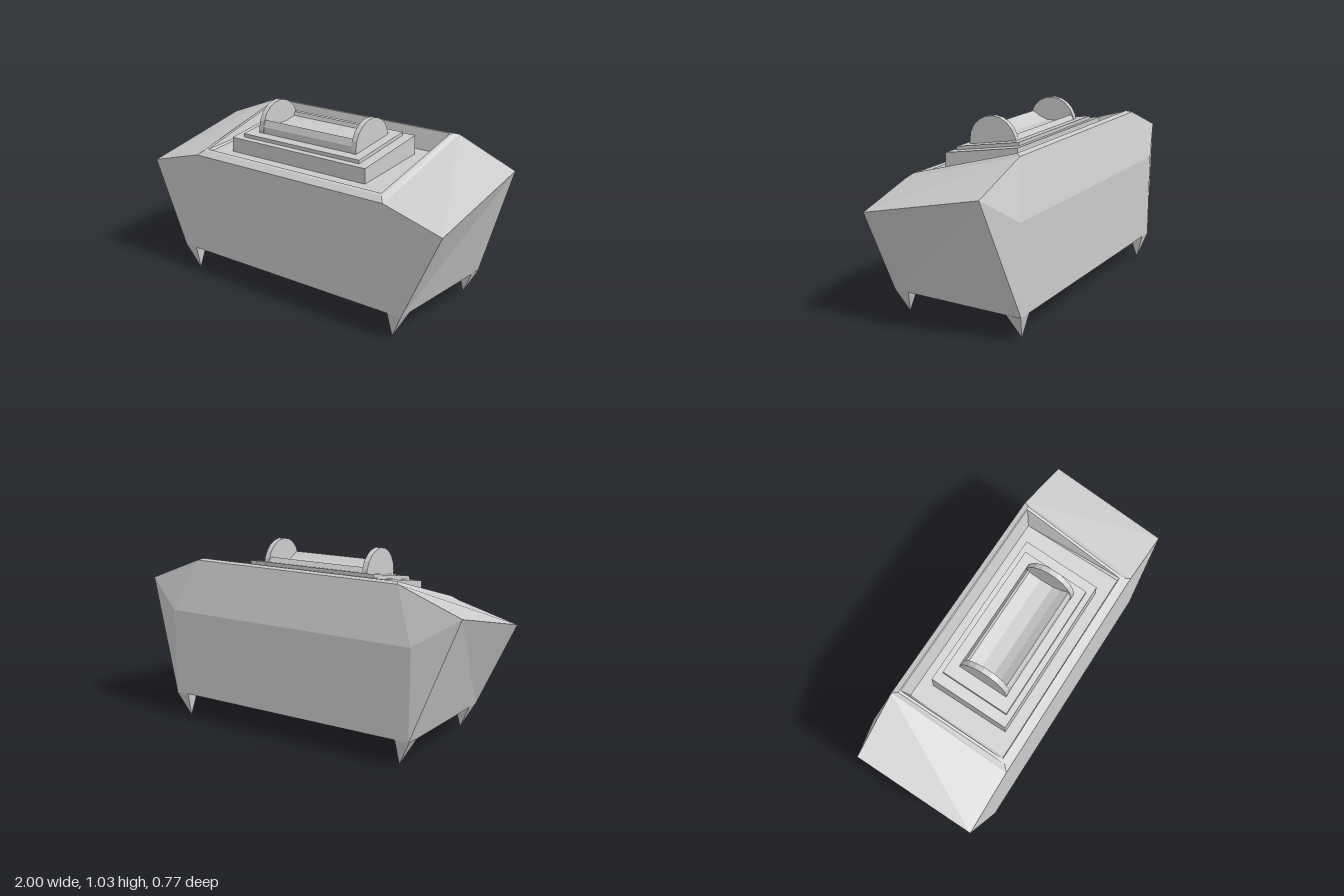
import * as THREE from 'three';

const grey = new THREE.MeshStandardMaterial({ color: 0xcccccc, flatShading: true });

function addMesh(group, name, geometry) {
  const mesh = new THREE.Mesh(geometry, grey);
  mesh.name = name;
  group.add(mesh);
  return mesh;
}

// Joins rings of corners (listed counterclockwise from above) and caps both ends.
function loft(rings, flips = []) {
  const pos = [];
  const tri = (a, b, c) => pos.push(...a, ...b, ...c);
  const n = rings[0].length;
  for (let k = 0; k + 1 < rings.length; k++) {
    const a = rings[k], b = rings[k + 1];
    for (let i = 0; i < n; i++) {
      const j = (i + 1) % n;
      if (flips.includes(i)) { tri(a[i], a[j], b[i]); tri(a[j], b[j], b[i]); }
      else { tri(a[i], a[j], b[j]); tri(a[i], b[j], b[i]); }
    }
  }
  const low = rings[0], high = rings[rings.length - 1];
  for (let i = 1; i + 1 < n; i++) {
    tri(low[0], low[i + 1], low[i]);
    tri(high[0], high[i], high[i + 1]);
  }
  const g = new THREE.BufferGeometry();
  g.setAttribute('position', new THREE.Float32BufferAttribute(pos, 3));
  g.computeVertexNormals();
  return g;
}

// Mirrored six-corner ring: front, rear side and back corner of the +x half.
function ring(front, side, back = side) {
  const m = ([x, y, z]) => [-x, y, z];
  return [m(front), front, side, back, m(back), m(side)];
}

// Extrudes a (z, y) side profile from x0 to x1.
function prism(profile, x0, x1) {
  const shape = new THREE.Shape(profile.map(([z, y]) => new THREE.Vector2(z, y)));
  const g = new THREE.ExtrudeGeometry(shape, { depth: x1 - x0, bevelEnabled: false });
  return g.rotateY(-Math.PI / 2).translate(x1, 0, 0);
}

export function createModel() {
  const model = new THREE.Group();

  // Faceted hull with a sloping rim and a sunken top
  addMesh(model, 'hull', loft([
    ring([0.775, 0.14, 0.385], [0.775, 0.14, -0.3], [0.77, 0.14, -0.385]),
    ring([1, 0.625, 0.385], [1, 0.785, -0.3], [0.77, 0.63, -0.385]),
    ring([0.65, 0.72, 0.385], [0.65, 0.92, -0.31]),
    ring([0.62, 0.745, 0.355], [0.63, 0.928, -0.28]),
    ring([0.605, 0.75, 0.335], [0.615, 0.925, -0.275]),
    ring([0.59, 0.74, 0.33], [0.585, 0.81, -0.248]),
  ], [2, 5]));

  // Pointed feet at the four corners
  for (const sx of [-1, 1]) {
    for (const sz of [-1, 1]) {
      const base = [[0.69, 0.3], [0.69, 0.385], [0.775, 0.385], [0.775, 0.3]]
        .map(([x, z]) => [sx * x, 0.141, sz * z]);
      if (sx * sz < 0) base.reverse();
      const tip = base.map(() => [sx * 0.7, 0, sz * 0.348]);
      addMesh(model, 'foot', loft([tip, base]));
    }
  }

  // Stepped plinth tilted toward the front
  addMesh(model, 'plinthBase', prism(
    [[0.268, 0.73], [0.268, 0.83], [-0.18, 0.907], [-0.18, 0.76]], -0.475, 0.455));
  addMesh(model, 'plinthStep', prism(
    [[0.237, 0.82], [0.237, 0.855], [-0.15, 0.921], [-0.15, 0.86]], -0.415, 0.393));

  // Cradle: a shallow trough between two round end plates
  addMesh(model, 'cradleTrough', prism(
    [[0.187, 0.83], [0.187, 0.9], [0.172, 0.938], [0.125, 0.91], [0.075, 0.893],
      [0, 0.898], [-0.07, 0.915], [-0.078, 0.938], [-0.098, 0.91], [-0.098, 0.86]], -0.32, 0.315));
  const plate = [[0.188, 0.83]];
  for (let i = 0; i <= 10; i++) {
    const a = (i / 10) * Math.PI;
    plate.push([0.045 + 0.145 * Math.cos(a), 0.885 + 0.145 * Math.sin(a)]);
  }
  plate.push([-0.098, 0.85]);
  addMesh(model, 'leftEndPlate', prism(plate, 0.305, 0.336));
  addMesh(model, 'rightEndPlate', prism(plate, -0.341, -0.31));

  return model;
}
